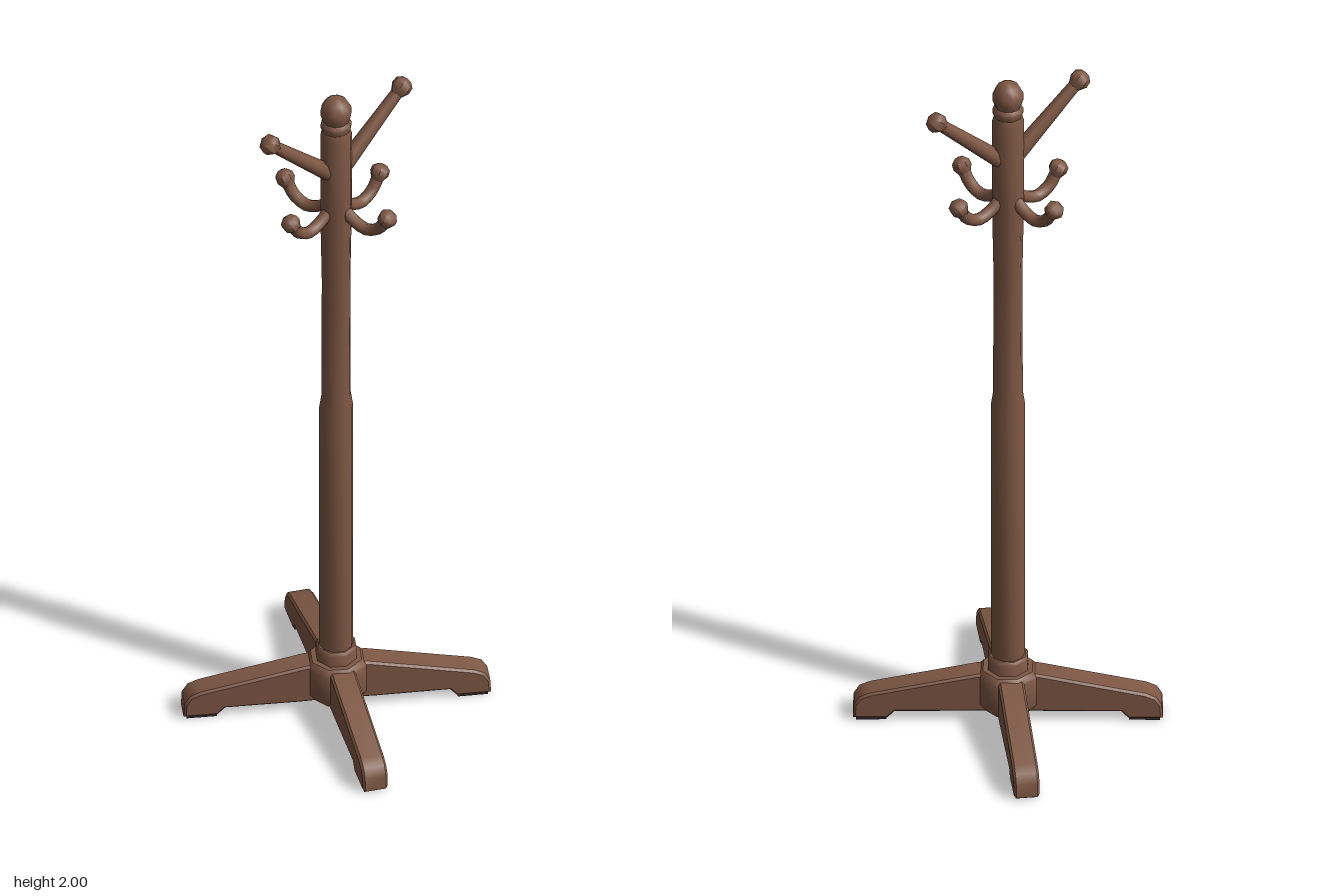
import * as THREE from 'three';
import { toCreasedNormals } from 'three/addons/utils/BufferGeometryUtils.js';

const V = (x, y, z = 0) => new THREE.Vector3(x, y, z);

export function createModel() {
  const root = new THREE.Group();
  const wood = new THREE.MeshStandardMaterial({ color: 0x7e5744 });
  wood.name = 'brown wood';
  const dark = new THREE.MeshStandardMaterial({ color: 0x38272a });
  dark.name = 'dark foot pad';

  const add = (parent, name, geometry, material = wood) => {
    const mesh = new THREE.Mesh(geometry, material);
    mesh.name = name;
    parent.add(mesh);
    return mesh;
  };
  const lathe = (points, sides) => toCreasedNormals(
    new THREE.LatheGeometry(points.map(([r, y]) => new THREE.Vector2(r, y)), sides), 0.85);
  // group whose local +x points along (x, z)
  const spoke = (name, x, z) => {
    const g = new THREE.Group();
    g.name = name;
    g.rotation.y = Math.atan2(-z, x);
    root.add(g);
    return g;
  };

  // post: thicker lower half, slimmer upper half, turned finial
  add(root, 'post', lathe([
    [0, 0.1], [0.045, 0.1], [0.045, 0.98], [0.039, 1.02], [0.038, 1.4],
    [0.042, 1.62], [0.042, 1.88], [0.036, 1.9], [0, 1.9],
  ], 10));
  add(root, 'finial', lathe([
    [0, 1.89], [0.034, 1.89], [0.041, 1.905], [0.041, 1.917], [0.034, 1.926],
    [0.041, 1.945], [0.041, 1.965], [0.029, 1.988], [0.012, 2], [0, 2],
  ], 10));

  // hub and collar at the foot of the post
  add(root, 'collar', lathe([[0, 0.1], [0.056, 0.1], [0.056, 0.185], [0.05, 0.192], [0, 0.192]], 8));
  add(root, 'hub', lathe([[0, 0.03], [0.07, 0.03], [0.083, 0.05], [0.083, 0.135], [0.07, 0.15], [0, 0.15]], 8));

  // four sloping legs with a dark pad under each foot
  const profile = new THREE.Shape([
    [0, 0.035], [0.1, 0.032], [0.3, 0.032], [0.318, 0.012], [0.4, 0.012],
    [0.398, 0.045], [0.385, 0.066], [0.36, 0.077], [0.08, 0.136], [0, 0.138],
  ].map(([x, y]) => new THREE.Vector2(x, y)));
  const bevel = 0.006;
  for (const [x, z] of [[0.38, 0.143], [-0.093, 0.383], [-0.38, -0.148], [0.094, -0.385]]) {
    const leg = spoke('leg', x, z);
    const body = new THREE.ExtrudeGeometry(profile, {
      depth: 0.056, bevelEnabled: true, bevelSize: bevel, bevelThickness: bevel, bevelSegments: 1,
    });
    body.translate(0, 0, -0.028);
    add(leg, 'legBeam', toCreasedNormals(body, 0.7));
    add(leg, 'footPad', new THREE.BoxGeometry(0.08, 0.008, 0.058), dark).position.set(0.358, 0.004, 0);
  }

  // knob on the end of a peg, facing along dir
  const addKnob = (parent, at, dir, size) => {
    const knob = add(parent, 'knob', lathe([
      [0, -0.9], [0.65, -0.8], [1, -0.15], [0.95, 0.45], [0.5, 0.85], [0, 0.95],
    ].map(([r, y]) => [r * size, y * size]), 7));
    knob.position.copy(at);
    knob.quaternion.setFromUnitVectors(V(0, 1), dir.clone().normalize());
  };

  // two long straight pegs
  for (const [x, z] of [[0.212, -0.028], [-0.208, 0.027]]) {
    const peg = spoke('upperPeg', x, z);
    const from = V(0.005, 1.745), to = V(0.212, 1.94);
    const dir = to.clone().sub(from);
    const shaft = add(peg, 'pegShaft', new THREE.CylinderGeometry(0.016, 0.024, dir.length(), 8));
    shaft.position.copy(from).lerp(to, 0.5);
    shaft.quaternion.setFromUnitVectors(V(0, 1), dir.clone().normalize());
    addKnob(peg, to, dir, 0.028);
  }

  // four short curved hooks
  for (const [x, z] of [[0.158, -0.045], [-0.158, 0.04], [0.078, 0.145], [-0.078, -0.147]]) {
    const hook = spoke('lowerHook', x, z);
    const path = new THREE.CatmullRomCurve3([
      V(0.02, 1.645), V(0.055, 1.617), V(0.095, 1.604), V(0.132, 1.622), V(0.157, 1.66),
    ]);
    add(hook, 'hookArm', new THREE.TubeGeometry(path, 10, 0.0165, 8));
    addKnob(hook, V(0.16, 1.665), V(0.55, 1), 0.026);
  }
  return root;
}
